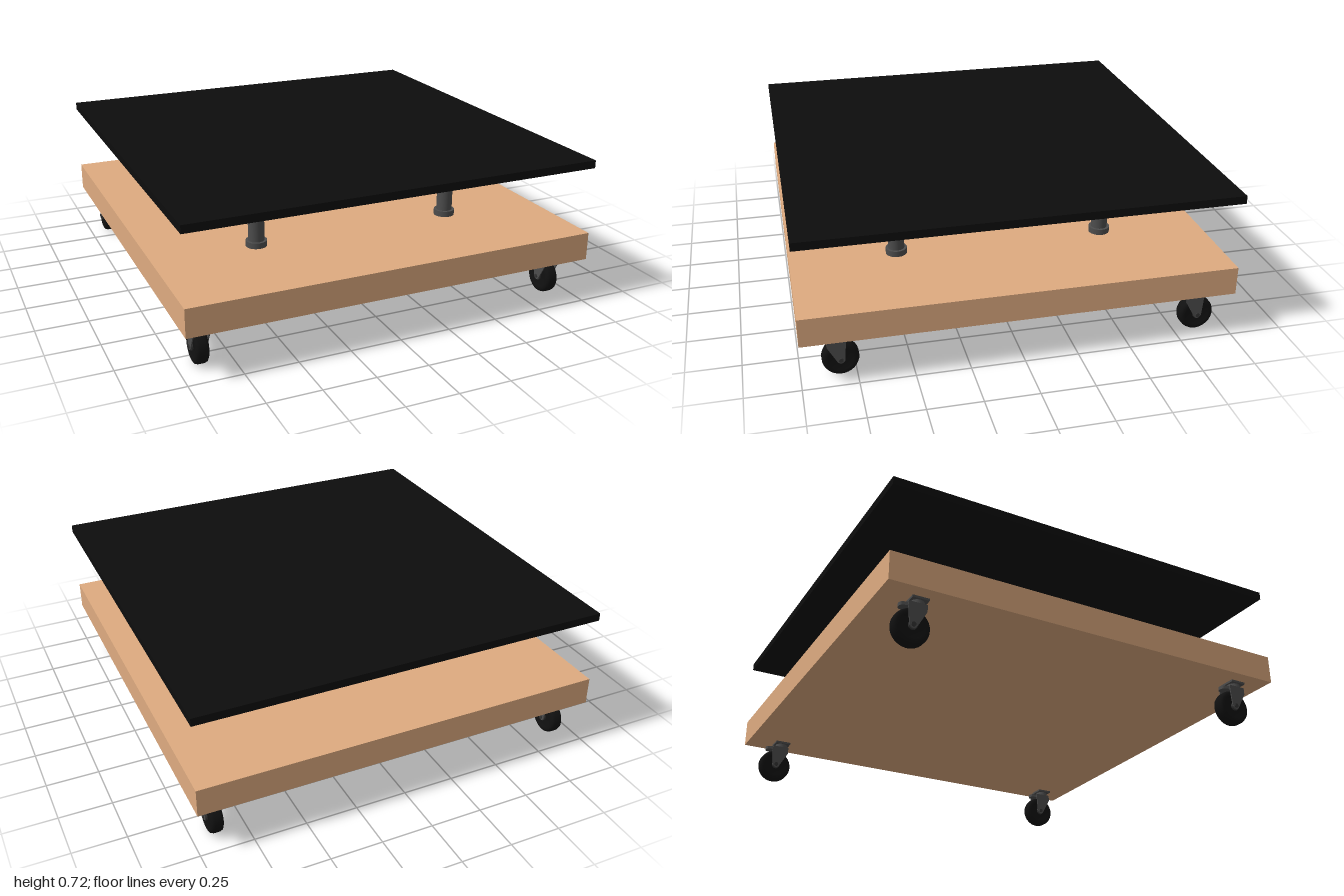
import * as THREE from 'three';

const mat = (color) => new THREE.MeshStandardMaterial({ color });
const wood = mat(0xdeab80), black = mat(0x0d0d0d), rubber = mat(0x111111);
const steel = mat(0x4d4d4d), hubGrey = mat(0x333333);

function add(parent, name, geometry, material, x = 0, y = 0, z = 0) {
  const mesh = new THREE.Mesh(geometry, material);
  mesh.name = name;
  mesh.position.set(x, y, z);
  parent.add(mesh);
  return mesh;
}

// Short cylinder lying along x
const axleDisc = (r, width) => new THREE.CylinderGeometry(r, r, width, 24).rotateZ(Math.PI / 2);

// Support post with a collar at the foot and a thin flange on top
function createPost() {
  const post = new THREE.Group();
  post.name = 'supportPost';
  add(post, 'postTube', new THREE.CylinderGeometry(0.038, 0.038, 0.3, 32), steel, 0, 0.505);
  add(post, 'postFoot', new THREE.CylinderGeometry(0.05, 0.05, 0.028, 32), steel, 0, 0.369);
  add(post, 'postFlange', new THREE.CylinderGeometry(0.05, 0.05, 0.016, 32), steel, 0, 0.656);
  return post;
}

// Swivel caster: origin on the floor below the swivel, wheel trailing to -z
function createCaster() {
  const caster = new THREE.Group();
  caster.name = 'caster';
  const trail = -0.03, axleY = 0.083;

  add(caster, 'mountPlate', new THREE.BoxGeometry(0.078, 0.01, 0.078), steel, 0, 0.215);
  add(caster, 'swivelBearing', new THREE.CylinderGeometry(0.03, 0.034, 0.022, 24), steel, 0, 0.2);

  // Fork crown with a rounded tab behind it
  const crown = new THREE.Shape();
  crown.moveTo(0.034, 0.03);
  crown.lineTo(0.034, -0.03);
  crown.lineTo(0.018, -0.078);
  crown.quadraticCurveTo(0, -0.092, -0.018, -0.078);
  crown.lineTo(-0.034, -0.03);
  crown.lineTo(-0.034, 0.03);
  crown.closePath();
  const crownGeo = new THREE.ExtrudeGeometry(crown, { depth: 0.016, bevelEnabled: false });
  crownGeo.rotateX(-Math.PI / 2).scale(1, 1, -1);
  // Mirroring flips the corner order, so swap two corners of each face back
  const p = crownGeo.attributes.position;
  for (let i = 0; i < p.count; i += 3) {
    const a = new THREE.Vector3().fromBufferAttribute(p, i);
    const b = new THREE.Vector3().fromBufferAttribute(p, i + 1);
    p.setXYZ(i, b.x, b.y, b.z);
    p.setXYZ(i + 1, a.x, a.y, a.z);
  }
  crownGeo.computeVertexNormals();
  add(caster, 'forkCrown', crownGeo, steel, 0, 0.172);

  // Tapered side plates, drawn in (z, y) and stood upright
  const leg = new THREE.Shape();
  leg.moveTo(0.03, 0.188);
  leg.lineTo(-0.055, 0.188);
  leg.lineTo(-0.055, 0.165);
  leg.lineTo(trail - 0.018, axleY - 0.004);
  leg.quadraticCurveTo(trail, axleY - 0.03, trail + 0.018, axleY - 0.004);
  leg.lineTo(0.03, 0.155);
  leg.closePath();
  const legGeo = new THREE.ExtrudeGeometry(leg, { depth: 0.005, bevelEnabled: false });
  legGeo.translate(0, 0, -0.0025).rotateY(-Math.PI / 2);
  for (const side of [-1, 1]) {
    add(caster, 'forkLeg', legGeo, steel, side * 0.0365);
    add(caster, 'axleNut', axleDisc(0.01, 0.006), hubGrey, side * 0.041, axleY, trail);
  }

  // Wheel with a barrel-shaped tread and recessed hub
  const profile = [
    [0.016, -0.026], [0.05, -0.026], [0.056, -0.032], [0.07, -0.03], [0.079, -0.025],
    [0.083, -0.014], [0.083, 0.014],
    [0.079, 0.025], [0.07, 0.03], [0.056, 0.032], [0.05, 0.026], [0.016, 0.026],
  ].map(([r, h]) => new THREE.Vector2(r, h));
  const wheelGeo = new THREE.LatheGeometry(profile, 32).rotateZ(Math.PI / 2);
  add(caster, 'wheel', wheelGeo, rubber, 0, axleY, trail);
  add(caster, 'wheelHub', axleDisc(0.02, 0.068), hubGrey, 0, axleY, trail);
  return caster;
}

export function createModel() {
  const model = new THREE.Group();
  model.name = 'rollingTable';

  add(model, 'tableTop', new THREE.BoxGeometry(2, 0.038, 2), black, 0, 0.7);
  add(model, 'woodenBase', new THREE.BoxGeometry(2, 0.135, 2), wood, 0, 0.2875);

  for (const x of [-0.5, 0.5]) {
    for (const z of [-0.5, 0.5]) {
      const post = createPost();
      post.position.set(x, 0, z);
      model.add(post);
    }
  }

  // All casters trail the same way
  for (const x of [-0.897, 0.892]) {
    for (const z of [-0.826, 0.85]) {
      const caster = createCaster();
      caster.position.set(x, 0, z);
      model.add(caster);
    }
  }
  return model;
}
